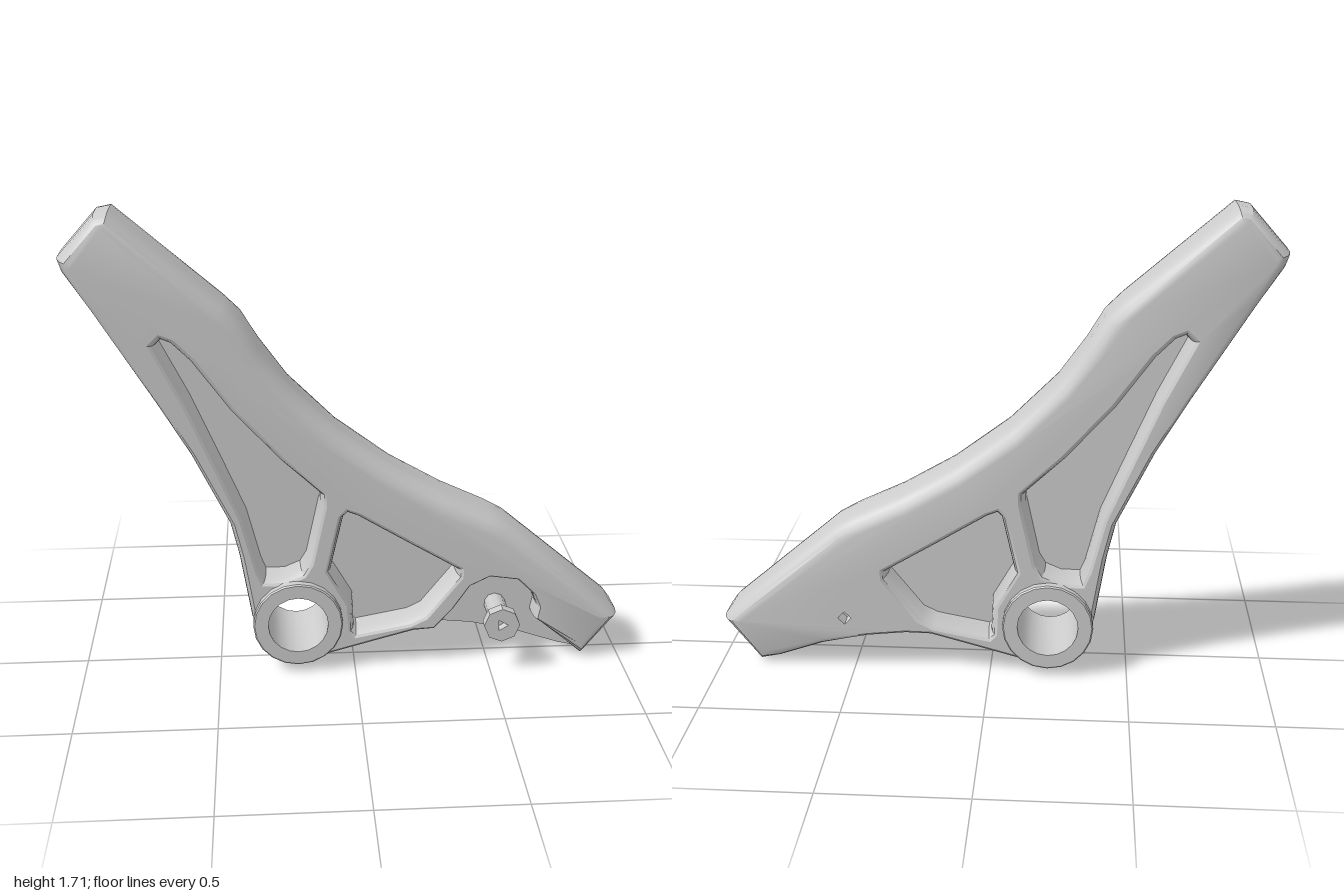
import * as THREE from 'three';
import { toCreasedNormals } from 'three/addons/utils/BufferGeometryUtils.js';

const FRONT = 0.1, BACK = -0.16, MID = 0, ROUND = 0.08;
const HUB = [-0.21, 0.193], BOLT = [0.535, 0.195];

// Outline pieces, counter-clockwise: [x, y, edge rounding]
const lowerRim = [[-0.20, 0.02, 0.02], [-0.12, 0.035, 0.02], [0.08, 0.09, 0.02], [0.22, 0.128, 0.02]];
const plainEdge = [[0.31, 0.13, 0.02], [0.45, 0.115, 0.02], [0.62, 0.075, 0.03], [0.78, 0.02, 0.03]];
const recessEdge = [[0.30, 0.137, 0.015], [0.37, 0.22, 0.012], [0.43, 0.31, 0.012], [0.5, 0.345, 0.012],
  [0.6, 0.33, 0.012], [0.66, 0.27, 0.012], [0.68, 0.22, 0.012], [0.67, 0.17, 0.012]];
const upperBar = [[0.86, 0, 0.04], [0.995, 0.165, 0.05], [0.97, 0.2, 0.055], [0.57, 0.54, 0.06], [0.5, 0.58, 0.06],
  [0.33, 0.66, 0.06], [0.14, 0.77, 0.06], [-0.06, 0.92, 0.06], [-0.23, 1.09, 0.06], [-0.33, 1.23, 0.06],
  [-0.39, 1.33, 0.06], [-0.45, 1.39, 0.06], [-0.82, 1.71, 0.045], [-0.87, 1.7, 0.045], [-1, 1.555, 0.045],
  [-0.985, 1.51, 0.04]];
const leftRim = [[-0.9, 1.38, 0.03], [-0.69, 1.04, 0.02], [-0.58, 0.85, 0.02], [-0.45, 0.58, 0.02], [-0.42, 0.45, 0.02],
  [-0.38, 0.2, 0.02], [-0.34, 0.09, 0.02], [-0.27, 0.035, 0.02]];

// Pocket edges, clockwise
const pockets = [
  [[-0.71, 1.26], [-0.67, 1.3], [-0.62, 1.28], [-0.55, 1.21], [-0.42, 1.03], [-0.25, 0.84], [-0.1, 0.7], [-0.1, 0.65],
    [-0.15, 0.42], [-0.18, 0.37], [-0.25, 0.34], [-0.34, 0.34], [-0.365, 0.4], [-0.415, 0.6], [-0.49, 0.78], [-0.6, 1.04]],
  [[-0.06, 0.61], [-0.03, 0.64], [0.02, 0.62], [0.2, 0.51], [0.4, 0.39], [0.4, 0.35], [0.27, 0.185], [0.21, 0.155],
    [0, 0.115], [-0.025, 0.14], [-0.03, 0.25], [-0.11, 0.39]],
];
const FLARE = 0.025;

const vec = (list) => list.map(([x, y]) => new THREE.Vector2(x, y));

// Clockwise regular polygon used as a hole
const ngon = ([cx, cy], r, n) => Array.from({ length: n }, (_, i) => {
  const a = -i / n * Math.PI * 2;
  return [cx + r * Math.cos(a), cy + r * Math.sin(a), 0];
});

// Moves each corner into the material (left of travel) by its own amount
function inset(pts, amount) {
  const n = pts.length;
  const normal = (a, b) => new THREE.Vector2(a[1] - b[1], b[0] - a[0]).normalize();
  return pts.map((p, i) => {
    const n1 = normal(pts[(i + n - 1) % n], p), n2 = normal(p, pts[(i + 1) % n]);
    const s = amount(p) / Math.max(0.5, 1 + n1.dot(n2));
    return [p[0] + (n1.x + n2.x) * s, p[1] + (n1.y + n2.y) * s];
  });
}

// Half of the casting: straight from MID, then rounded over to the outer face
function halfBody(outline, holes, zEnd, innerCap) {
  const dir = Math.sign(zEnd - MID);
  const layers = [[MID, 0]];
  for (let i = 0; i <= 4; i++) {
    const a = i / 4 * Math.PI / 2;
    layers.push([zEnd - dir * ROUND * (1 - Math.sin(a)), 1 - Math.cos(a)]);
  }
  const loopsAt = (k) => [
    inset(outline, (p) => p[2] * k),
    ...holes.map((h) => inset(h, (p) => (p[2] ?? FLARE) * (k - 1))),
  ];
  const pos = [];
  const tri = (a, b, c, flip) => pos.push(...a, ...(flip ? c : b), ...(flip ? b : c));
  const at = (p, z) => [p[0], p[1], z];

  for (let j = 0; j + 1 < layers.length; j++) {
    const [z0, k0] = layers[j], [z1, k1] = layers[j + 1];
    const low = loopsAt(k0), high = loopsAt(k1);
    low.forEach((loop, l) => loop.forEach((p, i) => {
      const m = (i + 1) % loop.length;
      const a = at(p, z0), b = at(loop[m], z0), c = at(high[l][m], z1), d = at(high[l][i], z1);
      tri(a, b, c, dir < 0);
      tri(a, c, d, dir < 0);
    }));
  }
  const cap = (k, z, flip) => {
    const loops = loopsAt(k), flat = loops.flat();
    const faces = THREE.ShapeUtils.triangulateShape(vec(loops[0]), loops.slice(1).map(vec));
    faces.forEach(([a, b, c]) => tri(at(flat[a], z), at(flat[b], z), at(flat[c], z), flip));
  };
  cap(1, zEnd, dir < 0);
  if (innerCap) cap(0, MID, dir > 0);

  const geo = new THREE.BufferGeometry();
  geo.setAttribute('position', new THREE.Float32BufferAttribute(pos, 3));
  return toCreasedNormals(geo, 0.5);
}

export function createModel() {
  const group = new THREE.Group();
  const material = new THREE.MeshStandardMaterial({ color: 0xcccccc, side: THREE.DoubleSide });
  const add = (name, geo, x = 0, y = 0, z = 0) => {
    const mesh = new THREE.Mesh(geo, material);
    mesh.name = name;
    mesh.position.set(x, y, z);
    group.add(mesh);
    return mesh;
  };

  // Bracket casting, with the bolt recess cut into its front half
  const bore = ngon(HUB, 0.13, 16);
  const frontOutline = [...lowerRim, ...recessEdge, ...upperBar, ...leftRim];
  const backOutline = [...lowerRim, ...plainEdge, ...upperBar, ...leftRim];
  add('frontBody', halfBody(frontOutline, [...pockets, bore], FRONT, false));
  add('backBody', halfBody(backOutline, [...pockets, bore, ngon(BOLT, 0.025, 4)], BACK, true));

  // Thin webs closing the pockets
  pockets.forEach((p, i) => add(i ? 'rightWeb' : 'leftWeb',
    new THREE.ExtrudeGeometry(new THREE.Shape(vec(p)), { depth: 0.04, bevelEnabled: false }), 0, 0, -0.05));

  // Pivot hub: open sleeve through the body
  const sleeve = [[0.11, -0.19], [0.16, -0.19], [0.165, -0.185], [0.165, 0.125], [0.16, 0.13], [0.11, 0.13], [0.11, -0.19]];
  const hub = new THREE.LatheGeometry(vec(sleeve), 20).rotateX(Math.PI / 2);
  add('hub', toCreasedNormals(hub, 0.5), HUB[0], HUB[1]);

  // Bolt: shank and faceted head with a three-sided socket
  const shank = new THREE.CylinderGeometry(0.04, 0.04, 0.25, 10).rotateX(Math.PI / 2);
  add('boltShank', shank, BOLT[0], BOLT[1], 0.025);
  const headShape = new THREE.Shape(vec(ngon([0, 0], 0.066, 8)));
  headShape.holes.push(new THREE.Path(vec(ngon([0, 0], 0.024, 3))));
  add('boltHead', new THREE.ExtrudeGeometry(headShape, { depth: 0.04, bevelEnabled: false }), BOLT[0], BOLT[1], 0.143);

  return group;
}
